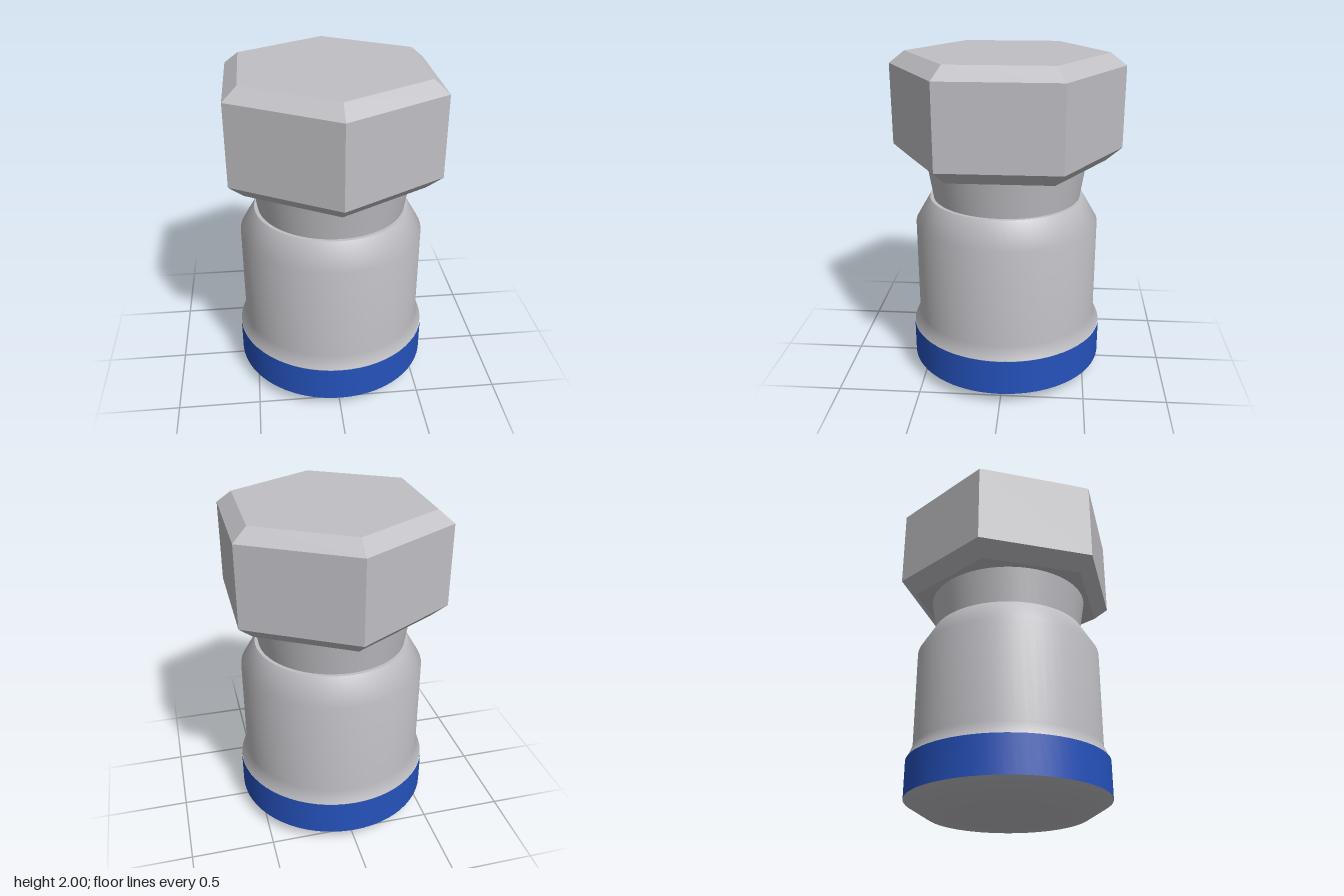
import * as THREE from 'three';

const steel = new THREE.MeshStandardMaterial({ color: 0xc0bfc4 });
steel.name = 'steel grey';
const blue = new THREE.MeshStandardMaterial({ color: 0x2552bc });
blue.name = 'band blue';

// Turned part from [radius, height] pairs listed bottom to top
function turned(name, profile, material, sides = 64) {
  const points = profile.map(([r, y]) => new THREE.Vector2(r, y));
  const mesh = new THREE.Mesh(new THREE.LatheGeometry(points, sides), material);
  mesh.name = name;
  return mesh;
}

export function createModel() {
  const model = new THREE.Group();
  model.name = 'hexPlug';

  // Chamfered base disc and the coloured band above it
  model.add(turned('baseCap', [[0, 0], [0.47, 0], [0.6, 0.08]], steel));
  model.add(turned('colourBand', [[0.6, 0.08], [0.6, 0.3]], blue));

  // Round body with a flared foot and a sloping shoulder
  model.add(turned('body', [[0.597, 0.3], [0.562, 0.38], [0.562, 0.98], [0.472, 1.135]], steel));
  model.add(turned('shoulderLedge', [[0.472, 1.135], [0.44, 1.135]], steel));

  // Neck widening towards the head
  model.add(turned('neck', [[0.45, 1.135], [0.487, 1.365]], steel));

  // Hexagonal head, chamfered at both ends, with flat faces
  const head = turned('hexHead',
    [[0, 1.36], [0.6, 1.36], [0.695, 1.44], [0.695, 1.927], [0.6, 2], [0, 2]], steel, 6);
  head.geometry = head.geometry.toNonIndexed();
  head.geometry.computeVertexNormals();
  model.add(head);

  return model;
}
